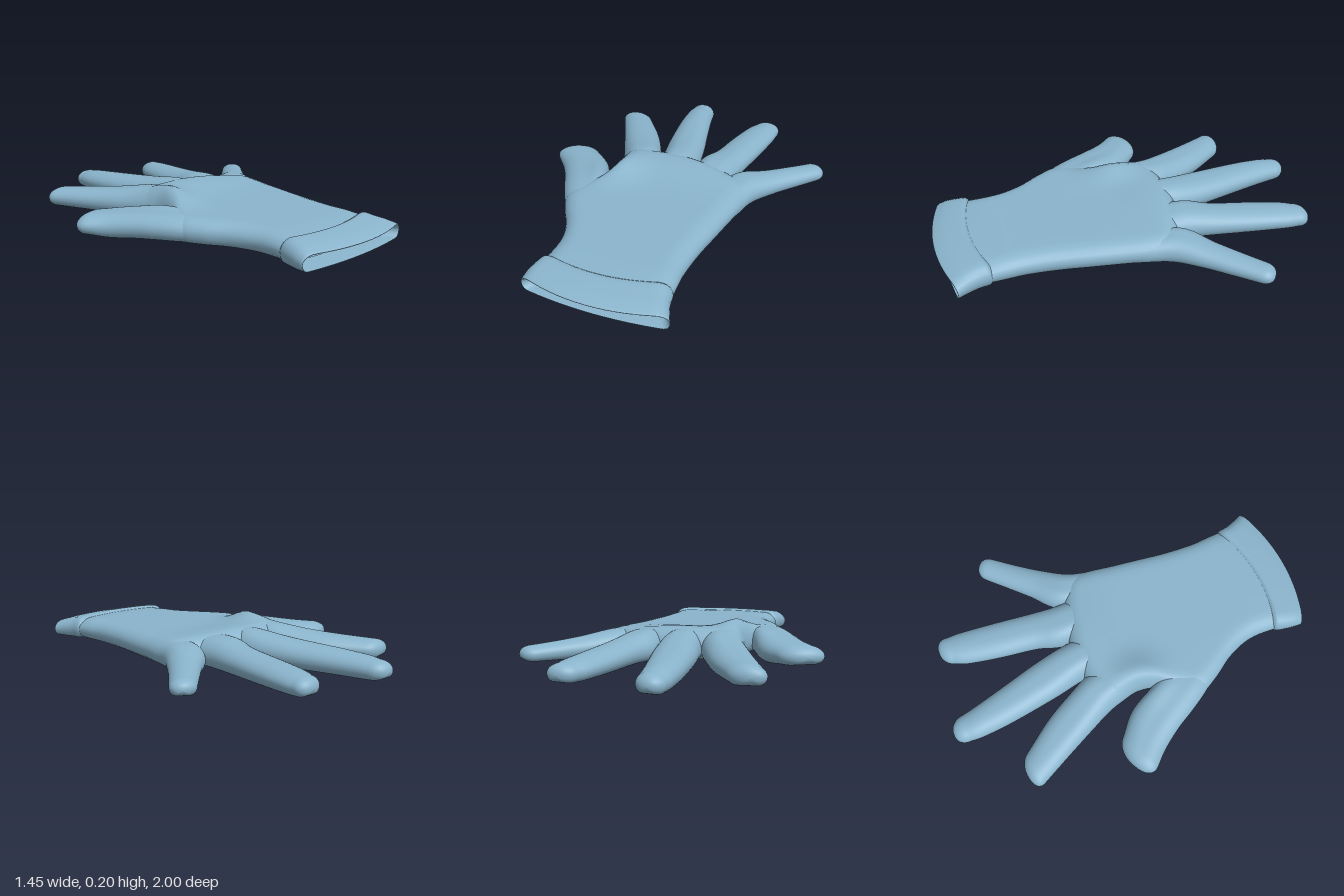
import * as THREE from 'three';

const SIDE = 24;      // steps across the top and across the underside
const STEPS = 8;      // rings between two rows
const CAP = 8;        // rings in a rounded end

// Gentle swell over the knuckles and a peak at the base of the thumb, shared by all parts
function lift(x, z) {
  const bump = (cx, cz, rx, rz) => Math.exp(-(((x - cx) / rx) ** 2) - ((z - cz) / rz) ** 2);
  return 0.058 * bump(-0.26, 0, 0.11, 0.14) + 0.036 * bump(-0.02, -0.18, 0.36, 0.2);
}

// Lofts a flattened tube through rows of [leftX, leftZ, rightX, rightZ, top, bottom].
// bow curves the rows across the hand, lip sets the underside back,
// cap is the length of the rounded end, which keeps its width if wide is set.
function loft(rows, { cap = 0, bow = [0, 0], lip = 0, edge = 0.09, wide = false } = {}) {
  const left = new THREE.CatmullRomCurve3(rows.map(r => new THREE.Vector3(r[0], r[4], r[1])), false, 'catmullrom', 0.5);
  const right = new THREE.CatmullRomCurve3(rows.map(r => new THREE.Vector3(r[2], r[5], r[3])), false, 'catmullrom', 0.5);
  const frames = [];
  const n = (rows.length - 1) * STEPS;
  const frameAt = (u) => {
    const l = left.getPoint(u), r = right.getPoint(u);
    return {
      x: (l.x + r.x) / 2, z: (l.z + r.z) / 2, hx: (r.x - l.x) / 2, hz: (r.z - l.z) / 2,
      mid: r.y + (l.y - r.y) * 0.45, up: (l.y - r.y) * 0.55, down: (l.y - r.y) * 0.45,
      bow: THREE.MathUtils.lerp(bow[0], bow[1], u), lip: lip * (1 - u), size: 1,
    };
  };
  for (let j = 0; j <= n; j++) frames.push(frameAt(j / n));

  // Rounded end
  if (cap) {
    const end = frameAt(1), before = frameAt(0.97);
    const dir = new THREE.Vector2(end.x - before.x, end.z - before.z).normalize();
    for (let k = 1; k <= CAP; k++) {
      const t = (k / CAP) * Math.PI / 2;
      const s = k === CAP ? 0.001 : Math.cos(t) ** 0.85;
      const w = wide ? 1 : s;
      frames.push({
        ...end, x: end.x + dir.x * cap * Math.sin(t), z: end.z + dir.y * cap * Math.sin(t),
        hx: end.hx * w, hz: end.hz * w, up: end.up * s, down: end.down * s, size: s,
      });
    }
  }

  const positions = [], index = [], ring = SIDE * 2;
  for (const f of frames) {
    const half = Math.hypot(f.hx, f.hz);
    for (let i = 0; i < ring; i++) {
      const a = (i / ring) * Math.PI * 2, s = Math.cos(a), top = i <= SIDE;
      const radius = Math.min(half, edge) * (top ? 1 : 0.5);
      const d = Math.min((1 - Math.abs(s)) * half / radius, 1);
      const h = Math.sqrt(Math.max(0, 1 - (1 - d) ** 2));
      const x = f.x + f.hx * s;
      const z = f.z + f.hz * s + (f.bow - (top ? 0 : f.lip)) * (1 - s * s);
      const y = f.mid + (top ? f.up + lift(x, z) * f.size : -f.down) * h;
      positions.push(x, y, z);
    }
  }
  for (let j = 0; j < frames.length - 1; j++) {
    for (let i = 0; i < ring; i++) {
      const a = j * ring + i, b = j * ring + (i + 1) % ring;
      index.push(a, a + ring, b, b, a + ring, b + ring);
    }
  }
  const geometry = new THREE.BufferGeometry();
  geometry.setAttribute('position', new THREE.Float32BufferAttribute(positions, 3));
  geometry.setIndex(index);
  geometry.computeVertexNormals();
  return geometry;
}

export function createModel() {
  const group = new THREE.Group();
  group.name = 'glove';
  const fabric = new THREE.MeshStandardMaterial({ color: 0x8ab4cc, side: THREE.DoubleSide });
  fabric.name = 'blue fabric';
  const add = (name, rows, options) => {
    const mesh = new THREE.Mesh(loft(rows, options), fabric);
    mesh.name = name;
    group.add(mesh);
  };

  // Palm and wrist, open at the cuff
  add('palm', [
    [-0.24, 0.85, 0.41, 0.77, 0.118, 0.02],
    [-0.238, 0.7, 0.40, 0.67, 0.13, 0.016],
    [-0.258, 0.6, 0.39, 0.58, 0.132, 0.015],
    [-0.305, 0.5, 0.39, 0.48, 0.134, 0.015],
    [-0.375, 0.4, 0.395, 0.38, 0.135, 0.015],
    [-0.425, 0.3, 0.405, 0.28, 0.136, 0.015],
    [-0.39, 0.2, 0.415, 0.18, 0.137, 0.015],
    [-0.325, 0.09, 0.425, 0.08, 0.137, 0.015],
    [-0.305, -0.02, 0.435, 0, 0.137, 0.015],
    [-0.325, -0.12, 0.442, -0.08, 0.137, 0.015],
  ], { cap: 0.09, bow: [0.05, -0.09], wide: true });

  // Folded cuff with a hollow rim, its lower lip set back
  add('cuff', [
    [-0.2, 0.84, 0.40, 0.8, 0.082, 0.025],
    [-0.255, 0.95, 0.47, 0.9, 0.093, 0.018],
    [-0.262, 0.92, 0.45, 0.86, 0.113, 0.015],
    [-0.258, 0.87, 0.425, 0.8, 0.125, 0.0145],
    [-0.247, 0.81, 0.412, 0.745, 0.132, 0.0145],
    [-0.232, 0.79, 0.395, 0.725, 0.122, 0.02],
  ], { bow: [0.075, 0.06], lip: 0.05, edge: 0.06 });

  // Thumb
  add('thumb', [
    [-0.36, 0.4, -0.15, 0.34, 0.125, 0.018],
    [-0.44, 0.3, -0.2, 0.25, 0.133, 0.015],
    [-0.505, 0.2, -0.25, 0.15, 0.132, 0.012],
    [-0.565, 0.1, -0.305, 0.06, 0.127, 0.007],
    [-0.64, 0, -0.39, -0.09, 0.117, 0.0],
    [-0.71, -0.07, -0.51, -0.19, 0.11, 0.012],
  ], { cap: 0.08, edge: 0.1 });

  // Four fingers
  add('indexFinger', [
    [-0.305, -0.05, -0.1, -0.12, 0.125, 0.018],
    [-0.35, -0.19, -0.135, -0.25, 0.138, 0.016],
    [-0.41, -0.31, -0.185, -0.35, 0.135, 0.016],
    [-0.5, -0.48, -0.28, -0.51, 0.125, 0.016],
    [-0.585, -0.635, -0.41, -0.675, 0.115, 0.018],
  ], { cap: 0.065 });

  add('middleFinger', [
    [-0.14, -0.13, 0.08, -0.13, 0.125, 0.018],
    [-0.14, -0.25, 0.07, -0.3, 0.138, 0.016],
    [-0.185, -0.45, 0.03, -0.48, 0.14, 0.016],
    [-0.23, -0.7, -0.03, -0.68, 0.131, 0.016],
    [-0.247, -0.86, -0.08, -0.85, 0.122, 0.016],
    [-0.245, -0.93, -0.1, -0.93, 0.112, 0.018],
  ], { cap: 0.072 });

  add('ringFinger', [
    [0.08, -0.15, 0.31, -0.15, 0.125, 0.018],
    [0.075, -0.32, 0.3, -0.28, 0.138, 0.016],
    [0.11, -0.45, 0.31, -0.42, 0.135, 0.016],
    [0.135, -0.65, 0.33, -0.62, 0.125, 0.016],
    [0.165, -0.82, 0.345, -0.81, 0.115, 0.016],
    [0.192, -0.89, 0.344, -0.89, 0.108, 0.018],
  ], { cap: 0.062 });

  add('littleFinger', [
    [0.25, -0.08, 0.43, 0.02, 0.12, 0.018],
    [0.3, -0.27, 0.46, -0.14, 0.13, 0.016],
    [0.42, -0.39, 0.54, -0.28, 0.118, 0.016],
    [0.53, -0.505, 0.62, -0.395, 0.106, 0.016],
    [0.605, -0.585, 0.71, -0.515, 0.097, 0.018],
  ], { cap: 0.062, edge: 0.08 });

  return group;
}
